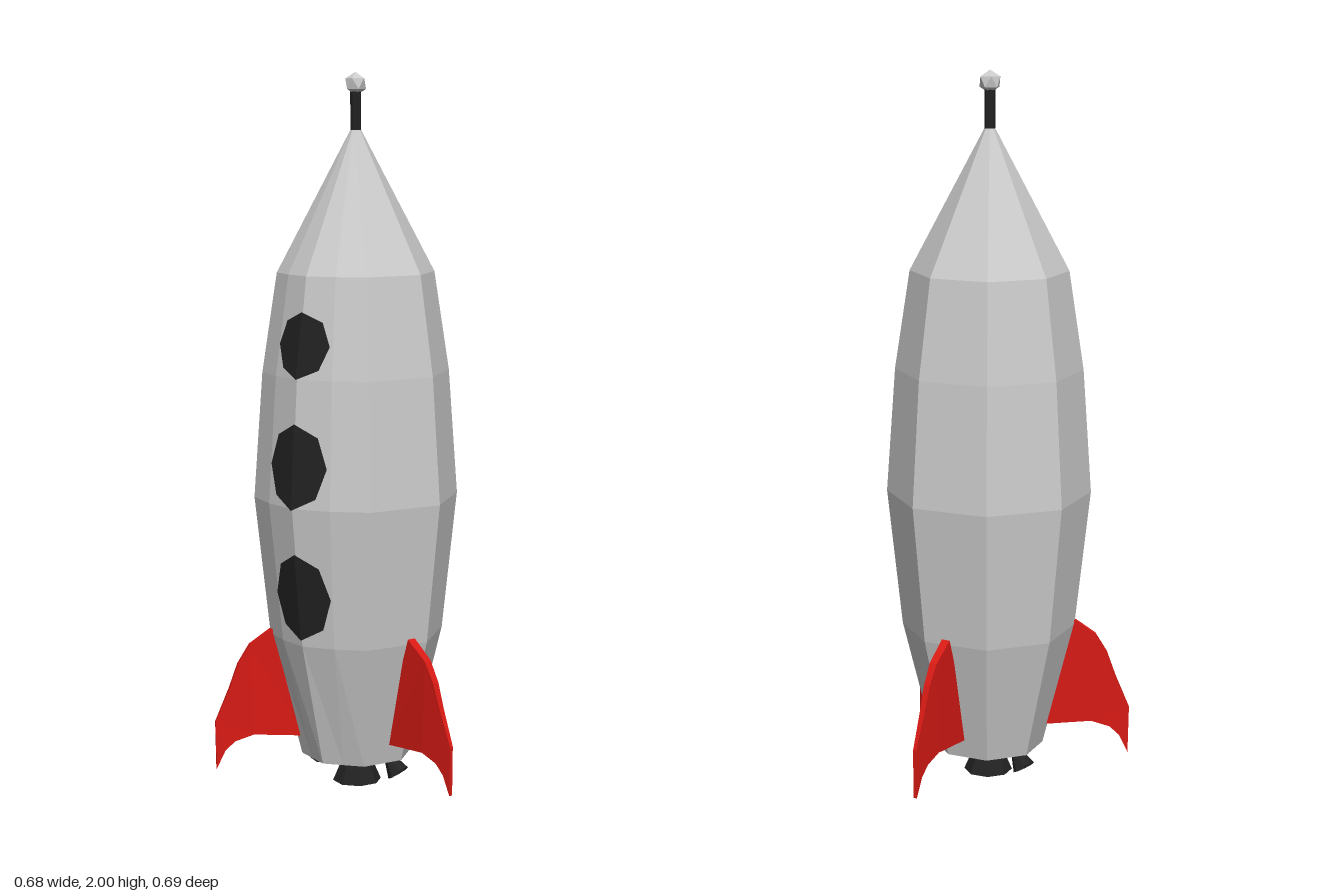
import * as THREE from 'three';

const mat = (color) => new THREE.MeshStandardMaterial({ color, flatShading: true, side: THREE.DoubleSide });
const GREY = mat(0xcccccc), DARK = mat(0x222222), RED = mat(0xd81a14);

// Hull profile: [radius, height]
const PROFILE = [[0.157, 0.085], [0.245, 0.44], [0.287, 0.83], [0.262, 1.18], [0.22, 1.455], [0.014, 1.845]];
const CHORD = Math.cos(Math.PI / 8); // keeps the in-between columns on the octagon's sides
const BULGE = 0.965;                 // slightly rounder around the portholes

function add(group, name, geometry, material, x = 0, y = 0, z = 0) {
  const mesh = new THREE.Mesh(geometry, material);
  mesh.name = name;
  mesh.position.set(x, y, z);
  group.add(mesh);
  return mesh;
}

function hullRadius(y) {
  const i = Math.max(1, PROFILE.findIndex((p) => p[1] >= y));
  const [r0, y0] = PROFILE[i - 1], [r1, y1] = PROFILE[i];
  return r0 + (r1 - r0) * (y - y0) / (y1 - y0);
}

// Eight-sided body, rounded a little at the front
function hullGeometry() {
  const n = PROFILE.length;
  const g = new THREE.LatheGeometry(PROFILE.map(([r, y]) => new THREE.Vector2(r, y)), 16);
  const p = g.attributes.position;
  for (let k = 0; k < p.count; k++) {
    const column = Math.floor(k / n), row = k % n;
    if (column % 2 === 0) continue;
    const front = (column === 1 || column === 15) && row > 0 && row < n - 1;
    const f = front ? BULGE : CHORD;
    p.setX(k, p.getX(k) * f);
    p.setZ(k, p.getZ(k) * f);
  }
  g.computeVertexNormals();
  return g;
}

// Octagonal window folded over the front edge of the hull
function portholeGeometry(cy, rx, ry) {
  const g = new THREE.CircleGeometry(1, 8);
  const p = g.attributes.position;
  const slope = (1 - BULGE * CHORD) / (BULGE * Math.sin(Math.PI / 8));
  for (let k = 0; k < p.count; k++) {
    const x = p.getX(k) * rx, y = cy + p.getY(k) * ry;
    p.setXYZ(k, x, y, hullRadius(y) - slope * Math.abs(x) + 0.005);
  }
  g.computeVertexNormals();
  return g;
}

// Swept fin, thinner toward its tip
function finGeometry() {
  const outline = [[0.15, 0.14], [0.296, 0.15], [0.35, 0.132], [0.378, 0.105], [0.403, 0.052], [0.405, 0.19],
    [0.365, 0.285], [0.34, 0.355], [0.306, 0.41], [0.238, 0.458], [0.215, 0.39]];
  const shape = new THREE.Shape(outline.map(([r, y]) => new THREE.Vector2(r, y)));
  const g = new THREE.ExtrudeGeometry(shape, { depth: 1, bevelEnabled: false });
  g.translate(0, 0, -0.5);
  const p = g.attributes.position;
  for (let k = 0; k < p.count; k++) {
    const t = Math.max(0, (p.getX(k) - 0.22) / 0.185);
    p.setZ(k, p.getZ(k) * (0.025 - 0.015 * t * t));
  }
  g.computeVertexNormals();
  return g;
}

export function createModel() {
  const model = new THREE.Group();
  model.name = 'rocket';
  const rocket = new THREE.Group();
  rocket.name = 'rocketBody';
  rocket.position.set(-0.053, 0, 0.045);
  model.add(rocket);

  add(rocket, 'hull', hullGeometry(), GREY);

  // Dark underside
  const base = add(rocket, 'basePlate', new THREE.CircleGeometry(0.157, 8), DARK, 0, 0.086, 0);
  base.rotation.x = Math.PI / 2;

  // Portholes: height, half width, half height
  [[1.27, 0.086, 0.09], [0.943, 0.096, 0.117], [0.58, 0.094, 0.122]].forEach(([y, rx, ry], i) =>
    add(rocket, `porthole${i + 1}`, portholeGeometry(y, rx, ry), DARK));

  // Three fins
  const fin = finGeometry();
  for (let i = 0; i < 3; i++) {
    add(rocket, `fin${i + 1}`, fin, RED).rotation.y = -THREE.MathUtils.degToRad(13.3 + 120 * i);
  }

  // Main nozzle and two small ones tilted outward
  add(rocket, 'mainNozzle', new THREE.CylinderGeometry(0.03, 0.069, 0.09, 8, 1, true), DARK, 0, 0.045, 0);
  for (const side of [-1, 1]) {
    const nozzle = add(rocket, side > 0 ? 'leftNozzle' : 'rightNozzle',
      new THREE.CylinderGeometry(0.014, 0.032, 0.055, 8, 1, true), DARK, side * 0.13, 0.067, 0);
    nozzle.rotation.z = side * 0.67;
  }

  // Antenna with a faceted ball
  add(rocket, 'antennaMast', new THREE.CylinderGeometry(0.015, 0.015, 0.13, 8), DARK, 0, 1.89, 0);
  const ball = add(rocket, 'antennaBall', new THREE.IcosahedronGeometry(0.032, 0), GREY, 0, 1.968, 0);
  ball.rotation.z = -Math.atan(2 / (1 + Math.sqrt(5)));

  return model;
}
